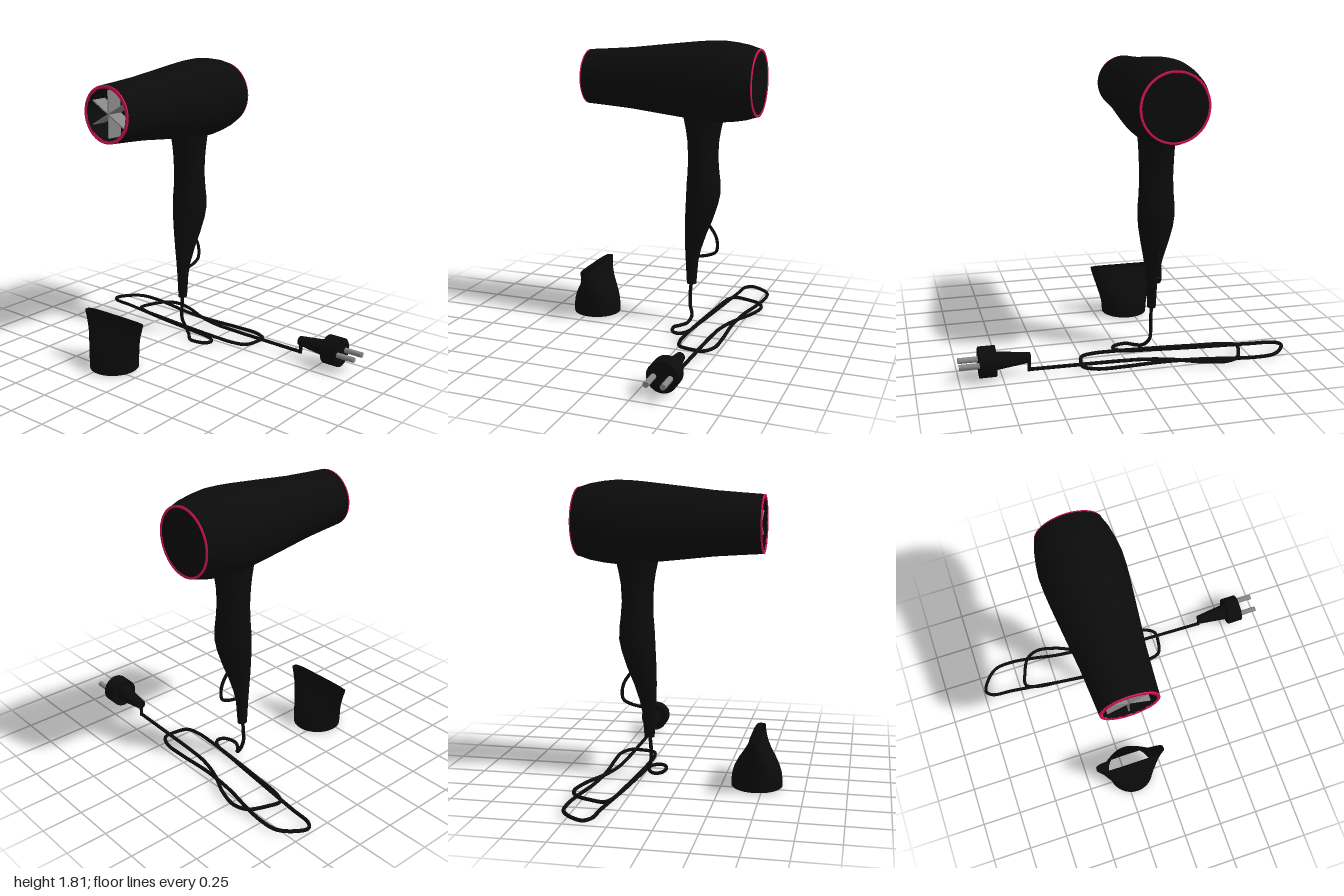
import * as THREE from 'three';

const V = (x, y, z) => new THREE.Vector3(x, y, z);

// Smooth skin through horizontal cross-sections: { y, z, rx, rz, n } (n = superellipse exponent)
function loft(sections, sides = 48) {
  const pos = [], index = [];
  for (const { y, z, rx, rz, n = 2 } of sections) {
    for (let i = 0; i < sides; i++) {
      const a = (i / sides) * Math.PI * 2, c = Math.cos(a), s = Math.sin(a);
      pos.push(Math.sign(c) * Math.abs(c) ** (2 / n) * rx, y, z + Math.sign(s) * Math.abs(s) ** (2 / n) * rz);
    }
  }
  for (let j = 0; j < sections.length - 1; j++) {
    for (let i = 0; i < sides; i++) {
      const a = j * sides + i, b = j * sides + ((i + 1) % sides);
      index.push(a, a + sides, b, b, a + sides, b + sides);
    }
  }
  const g = new THREE.BufferGeometry();
  g.setAttribute('position', new THREE.Float32BufferAttribute(pos, 3));
  g.setIndex(index);
  g.computeVertexNormals();
  return g;
}

// Surface of revolution around z from [radius, z] pairs
function latheZ(points) {
  return new THREE.LatheGeometry(points.map(([r, z]) => new THREE.Vector2(r, z)), 48).rotateX(Math.PI / 2);
}

export function createModel() {
  const black = new THREE.MeshStandardMaterial({ color: 0x0b0b0b, side: THREE.DoubleSide });
  const pink = new THREE.MeshStandardMaterial({ color: 0xd81159, side: THREE.DoubleSide });
  const grey = new THREE.MeshStandardMaterial({ color: 0x868686 });
  black.name = 'black plastic';
  pink.name = 'pink trim';
  grey.name = 'grey metal';

  const model = new THREE.Group();
  model.name = 'hairDryer';
  const add = (parent, name, geometry, material, x = 0, y = 0, z = 0) => {
    const mesh = new THREE.Mesh(geometry, material);
    mesh.name = name;
    mesh.position.set(x, y, z);
    parent.add(mesh);
    return mesh;
  };
  const tube = (name, points, radius, segments) =>
    add(model, name, new THREE.TubeGeometry(new THREE.CatmullRomCurve3(points), segments, radius, 10), black);

  // Barrel with hollow front and closed rear
  const CX = -0.205;
  const barrel = new THREE.Group();
  barrel.name = 'barrel';
  barrel.position.set(CX, 1.565, 0);
  model.add(barrel);
  add(barrel, 'barrelShell', latheZ([
    [0.202, -0.608], [0.224, -0.54], [0.238, -0.46], [0.246, -0.38], [0.243, -0.29],
    [0.235, -0.2], [0.213, 0], [0.19, 0.2], [0.179, 0.35], [0.17, 0.485],
  ]), black);
  add(barrel, 'barrelBore', latheZ([[0.152, 0.487], [0.152, 0.34]]), black);
  add(barrel, 'boreFloor', new THREE.CircleGeometry(0.152, 48), black, 0, 0, 0.34);
  add(barrel, 'rearCover', new THREE.CircleGeometry(0.191, 48).rotateY(Math.PI), black, 0, 0, -0.608);

  // Pink trim rings at both ends
  add(barrel, 'frontRing', latheZ([[0.1705, 0.482], [0.17, 0.49], [0.17, 0.49], [0.152, 0.49], [0.152, 0.482]]), pink);
  add(barrel, 'rearRing', latheZ([[0.19, -0.606], [0.19, -0.612], [0.203, -0.612], [0.203, -0.605]]), pink);

  // Radial blades in the air outlet
  for (let i = 0; i < 3; i++) {
    const blade = add(barrel, 'outletBlade', new THREE.BoxGeometry(0.007, 0.28, 0.1), grey, 0, 0, 0.42);
    blade.rotation.z = (i * Math.PI) / 3;
  }

  // Handle: [y, front z, back z, half width]
  const handle = [
    [1.42, -0.12, -0.41, 0.118], [1.34, -0.137, -0.388, 0.11], [1.27, -0.153, -0.372, 0.106],
    [1.2, -0.164, -0.36, 0.103], [1.1, -0.17, -0.355, 0.1], [1.0, -0.168, -0.364, 0.104],
    [0.94, -0.163, -0.372, 0.109], [0.87, -0.16, -0.374, 0.11], [0.8, -0.157, -0.36, 0.103],
    [0.7, -0.152, -0.328, 0.083], [0.6, -0.15, -0.288, 0.06], [0.5, -0.152, -0.255, 0.041],
    [0.42, -0.156, -0.238, 0.032], [0.27, -0.165, -0.226, 0.026],
  ].map(([y, f, b, rx]) => ({ y, z: (f + b) / 2, rx, rz: (f - b) / 2 })).reverse();
  const end = handle[0];
  add(model, 'handle', loft([{ ...end, rx: 0, rz: 0 }, { ...end }, ...handle]), black, CX);

  // Hanging loop behind the handle
  tube('hangingLoop', [
    V(CX, 0.69, -0.285), V(CX, 0.64, -0.325), V(CX, 0.6, -0.35), V(CX, 0.55, -0.363),
    V(CX, 0.495, -0.355), V(CX, 0.468, -0.305), V(CX, 0.452, -0.23),
  ], 0.01, 40);

  // Concentrator nozzle: round socket turning into a flat slot, open at both ends
  add(model, 'nozzle', loft([
    [0.008, 0.148, 0.152, 2], [0.05, 0.15, 0.152, 2], [0.09, 0.156, 0.147, 2], [0.13, 0.167, 0.134, 2],
    [0.17, 0.181, 0.113, 2.05], [0.21, 0.194, 0.085, 2.2], [0.25, 0.207, 0.06, 2.5],
    [0.29, 0.219, 0.042, 3.2], [0.327, 0.23, 0.033, 4],
  ].map(([y, rx, rz, n]) => ({ y, z: 0.462, rx, rz, n }))), black, CX);

  // Power cord: drops from the handle, coils twice on the floor, then runs to the plug
  const floorPath = [
    [-0.06, -0.128], [0.02, -0.15], [0.036, -0.19], [0, -0.23], [-0.2, -0.262], [-0.44, -0.29],
    [-0.8, -0.335], [-0.95, -0.352], [-0.985, -0.39], [-0.94, -0.475], [-0.87, -0.53], [-0.75, -0.54],
    [-0.6, -0.52], [-0.43, -0.488], [-0.2, -0.47], [0.04, -0.48], [0.2, -0.475], [0.275, -0.43],
    [0.278, -0.37], [0.25, -0.275], [0.17, -0.25], [0.04, -0.25], [-0.2, -0.265], [-0.44, -0.287],
    [-0.65, -0.312], [-0.708, -0.345], [-0.69, -0.43], [-0.64, -0.53], [-0.56, -0.565], [-0.43, -0.54],
    [-0.25, -0.46], [-0.1, -0.42], [0.04, -0.408], [0.3, -0.4], [0.59, -0.393],
  ].map(([x, z], i) => V(x, i < 6 ? 0.016 : 0.02 + i * 0.0003, z));
  tube('powerCord', [
    V(CX, 0.3, -0.196), V(CX, 0.2, -0.187), V(CX, 0.12, -0.188), V(-0.19, 0.06, -0.205),
    V(-0.15, 0.022, -0.19), V(-0.11, 0.011, -0.15), ...floorPath,
  ], 0.011, 420);
  add(model, 'cordRiser', new THREE.CylinderGeometry(0.011, 0.011, 0.1, 12), black, 0.592, 0.072, -0.393);

  // Plug: tapered grip, round head and two pins
  const plug = new THREE.Group();
  plug.name = 'plug';
  plug.position.set(0, 0.105, -0.393);
  model.add(plug);
  const rod = (r0, r1, length) => new THREE.CylinderGeometry(r1, r0, length, 32).rotateZ(-Math.PI / 2);
  add(plug, 'plugGrip', rod(0.029, 0.055, 0.21), black, 0.69);
  add(plug, 'plugHead', rod(0.091, 0.091, 0.097), black, 0.836);
  for (const side of [-1, 1]) {
    add(plug, 'plugPin', rod(0.017, 0.017, 0.12), grey, 0.94, 0, side * 0.048);
  }
  return model;
}
